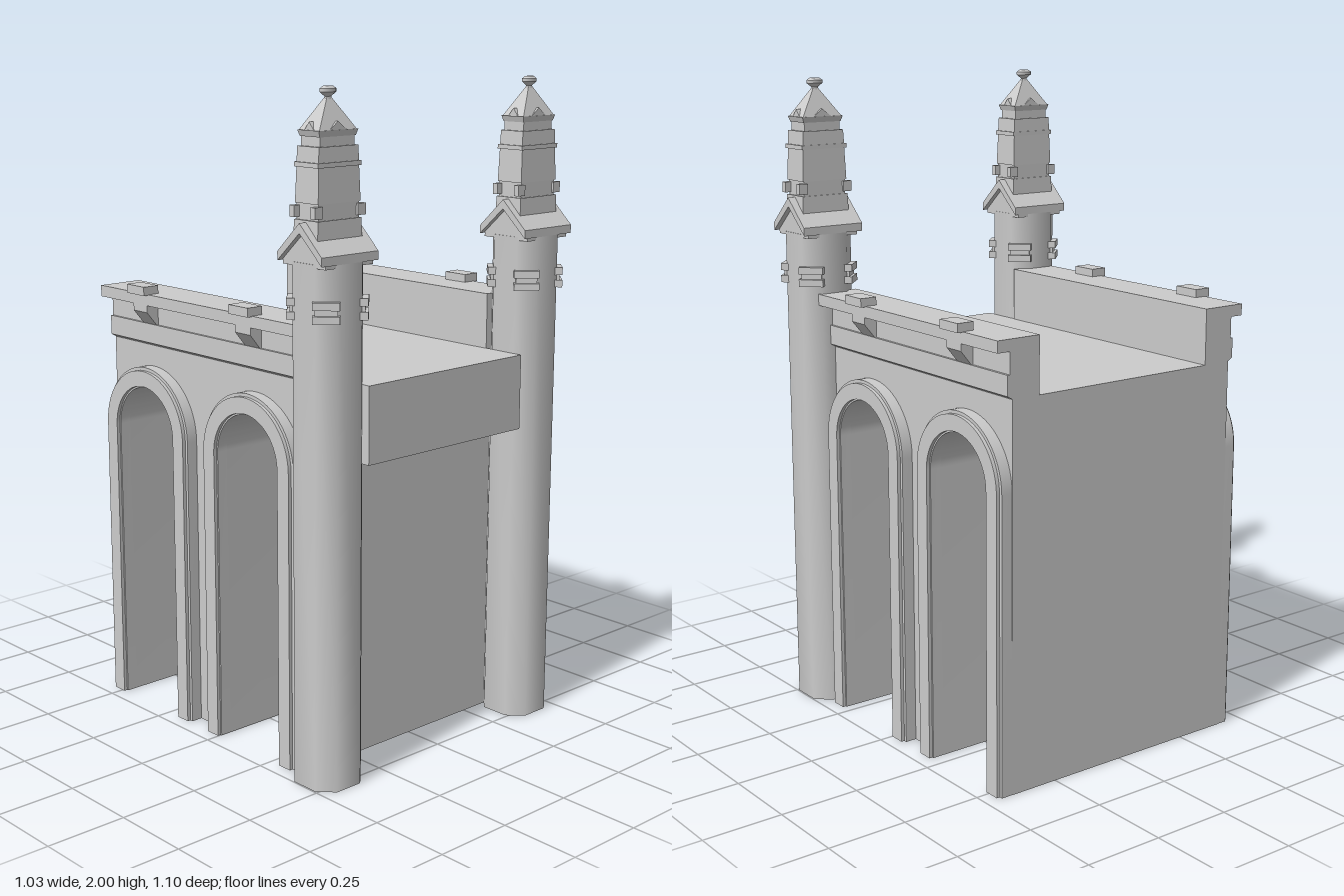
import * as THREE from 'three';
import { toCreasedNormals } from 'three/addons/utils/BufferGeometryUtils.js';

const material = new THREE.MeshStandardMaterial({ color: 0xcccccc, side: THREE.DoubleSide });

// Drop the faces lying on the ground, so that piers and shafts are open below
function openBase(geometry) {
  const source = geometry.index ? geometry.toNonIndexed() : geometry;
  const p = source.attributes.position;
  const kept = [];
  for (let i = 0; i < p.count; i += 3) {
    if (Math.max(p.getY(i), p.getY(i + 1), p.getY(i + 2)) < 1e-4) continue;
    for (let j = i; j < i + 3; j++) kept.push(p.getX(j), p.getY(j), p.getZ(j));
  }
  return new THREE.BufferGeometry().setAttribute('position', new THREE.Float32BufferAttribute(kept, 3));
}

function add(parent, name, geometry, x = 0, y = 0, z = 0, crease = 0.5) {
  const mesh = new THREE.Mesh(toCreasedNormals(geometry, crease), material);
  mesh.name = name;
  mesh.position.set(x, y, z);
  parent.add(mesh);
}

const polygon = (points) => new THREE.Shape(points.map(([x, y]) => new THREE.Vector2(x, y)));

const extrude = (shape, depth) =>
  new THREE.ExtrudeGeometry(shape, { depth, bevelEnabled: false, curveSegments: 24 });

// Extrude a (-z, y) outline along x, from x0 to x1
const extrudeAcross = (shape, x0, x1) =>
  extrude(shape, x1 - x0).translate(0, 0, x0).rotateY(Math.PI / 2);

const box = (x0, x1, y0, y1, z0, z1) =>
  new THREE.BoxGeometry(x1 - x0, y1 - y0, z1 - z0)
    .translate((x0 + x1) / 2, (y0 + y1) / 2, (z0 + z1) / 2);

// Square frustum between two heights, given half widths
const frustum = (bottom, top, y0, y1) =>
  new THREE.CylinderGeometry(top * Math.SQRT2, bottom * Math.SQRT2, y1 - y0, 4)
    .rotateY(Math.PI / 4).translate(0, (y0 + y1) / 2, 0);

const SPRING = 0.906;
const OPENING = 0.139;
const ARCHES = [-0.142, 0.346]; // arch centres as -z

// Arch band between two radii, standing on the ground
function archBand(centre, outer, inner) {
  const s = new THREE.Shape();
  s.moveTo(centre - outer, 0);
  s.lineTo(centre - outer, SPRING);
  s.absarc(centre, SPRING, outer, Math.PI, 0, true);
  s.lineTo(centre + outer, 0);
  s.lineTo(centre + inner, 0);
  s.lineTo(centre + inner, SPRING);
  s.absarc(centre, SPRING, inner, 0, Math.PI, false);
  s.lineTo(centre - inner, 0);
  return s;
}

function addBody(model) {
  // Main block, with two vaulted passages running from side to side
  const s = new THREE.Shape();
  s.moveTo(-0.375, 0);
  for (const c of ARCHES) {
    s.lineTo(c - OPENING, 0);
    s.lineTo(c - OPENING, SPRING);
    s.absarc(c, SPRING, OPENING, Math.PI, 0, true);
    s.lineTo(c + OPENING, 0);
  }
  s.lineTo(0.55, 0);
  s.lineTo(0.55, 1.175);
  s.lineTo(-0.375, 1.175);
  add(model, 'vaultedBody', openBase(extrudeAcross(s, -0.41, 0.41)));
  add(model, 'frontLintel', box(-0.318, 0.318, 0.945, 1.175, 0.36, 0.52));

  for (const side of [-1, 1]) {
    const band = (a, b) => (side > 0 ? [a, b] : [-b, -a]);
    for (const c of ARCHES) {
      const layers = [
        ['archMoulding', 0.203, OPENING, 0.41, 0.446],
        ['archMouldingFace', 0.193, OPENING + 0.005, 0.446, 0.457],
      ];
      for (const [name, outer, inner, x0, x1] of layers) {
        add(model, name, openBase(extrudeAcross(archBand(c, outer, inner), ...band(x0, x1))));
      }
    }

    // Parapet with an overhanging slab and a ledge below it
    const profile = [[0.315, 1.17], [0.315, 1.345], [0.461, 1.345], [0.461, 1.31],
      [0.418, 1.31], [0.418, 1.245], [0.426, 1.245], [0.426, 1.185], [0.40, 1.17]];
    add(model, 'parapet', extrude(polygon(profile.map(([x, y]) => [x * side, y])), 0.93), 0, 0, -0.55);

    // Brackets under the slab, with caps above it
    const bracket = [[0.41, 1.31], [0.46, 1.31], [0.46, 1.288], [0.42, 1.24], [0.41, 1.24]];
    for (const z of [0.143, -0.347]) {
      add(model, 'bracket', extrude(polygon(bracket.map(([x, y]) => [x * side, y])), 0.068), 0, 0, z - 0.034);
      add(model, 'bracketCap', box(-0.0275, 0.0275, 1.343, 1.37, -0.043, 0.043), side * 0.45, 0, z);
    }
  }
}

function createTower() {
  const tower = new THREE.Group();

  // Chamfered shaft
  const r = 0.09, c = 0.045;
  const octagon = polygon([[r, -c], [r, c], [c, r], [-c, r], [-r, c], [-r, -c], [-c, -r], [c, -r]]);
  add(tower, 'shaft', openBase(extrude(octagon, 1.53).rotateX(-Math.PI / 2)), 0, 0, 0, 0.9);

  // Spool blocks on the four chamfered faces
  for (let i = 0; i < 4; i++) {
    const spool = new THREE.Group();
    spool.name = 'spoolBlock';
    spool.rotation.y = Math.PI / 4 + i * Math.PI / 2;
    add(spool, 'spoolBase', box(-0.038, 0.038, 1.37, 1.392, 0.07, 0.113));
    add(spool, 'spoolNeck', box(-0.032, 0.032, 1.392, 1.408, 0.07, 0.104));
    add(spool, 'spoolTop', box(-0.038, 0.038, 1.408, 1.43, 0.07, 0.113));
    tower.add(spool);
  }

  // Gabled head with overhanging roof
  add(tower, 'gableHead', extrudeAcross(
    polygon([[-0.086, 1.52], [0.086, 1.52], [0.086, 1.535], [0, 1.615], [-0.086, 1.535]]), -0.088, 0.088));
  add(tower, 'gableRoof', extrudeAcross(
    polygon([[-0.09, 1.53], [-0.09, 1.555], [0, 1.64], [0.09, 1.555], [0.09, 1.53], [0, 1.612]]),
    -0.105, 0.105));

  // Turret stages, narrower from front to back
  const turret = new THREE.Group();
  turret.name = 'turret';
  turret.scale.z = 0.6;
  const stages = [
    ['turretBase', 0.084, 0.08, 1.56, 1.645],
    ['turretWaist', 0.074, 0.074, 1.645, 1.69],
    ['lowerStage', 0.078, 0.074, 1.69, 1.79],
    ['lowerCornice', 0.080, 0.080, 1.787, 1.80],
    ['middleStage', 0.074, 0.072, 1.80, 1.842],
    ['upperStage', 0.063, 0.063, 1.842, 1.875],
    ['eaves', 0.066, 0.072, 1.868, 1.885],
    ['spire', 0.068, 0.008, 1.885, 1.97],
  ];
  for (const [name, ...size] of stages) add(turret, name, frustum(...size));

  // Corner knobs around the waist
  for (const sx of [-1, 1]) for (const sz of [-1, 1]) {
    add(turret, 'waistKnob', box(-0.015, 0.015, 1.652, 1.684, -0.015, 0.015), sx * 0.079, 0, sz * 0.07);
  }

  // Small gablets on each face of the spire
  for (let i = 0; i < 4; i++) {
    const gablet = extrude(polygon([[-0.045, 1.875], [0.045, 1.875], [0, 1.908]]), 0.022);
    add(turret, 'gablet', gablet.translate(0, 0, 0.046).rotateY(i * Math.PI / 2));
  }

  // Finial
  const finial = [[0, 1.955], [0.014, 1.955], [0.011, 1.972], [0.027, 1.984], [0.027, 1.993], [0.016, 2], [0, 2]];
  add(turret, 'finial', new THREE.LatheGeometry(finial.map(([x, y]) => new THREE.Vector2(x, y)), 16));
  tower.add(turret);
  return tower;
}

export function createModel() {
  const model = new THREE.Group();
  model.name = 'archedGatehouse';
  addBody(model);
  for (const side of [-1, 1]) {
    const tower = createTower();
    tower.name = side > 0 ? 'leftTower' : 'rightTower';
    tower.position.set(side * 0.407, 0, 0.447);
    model.add(tower);
  }
  return model;
}
